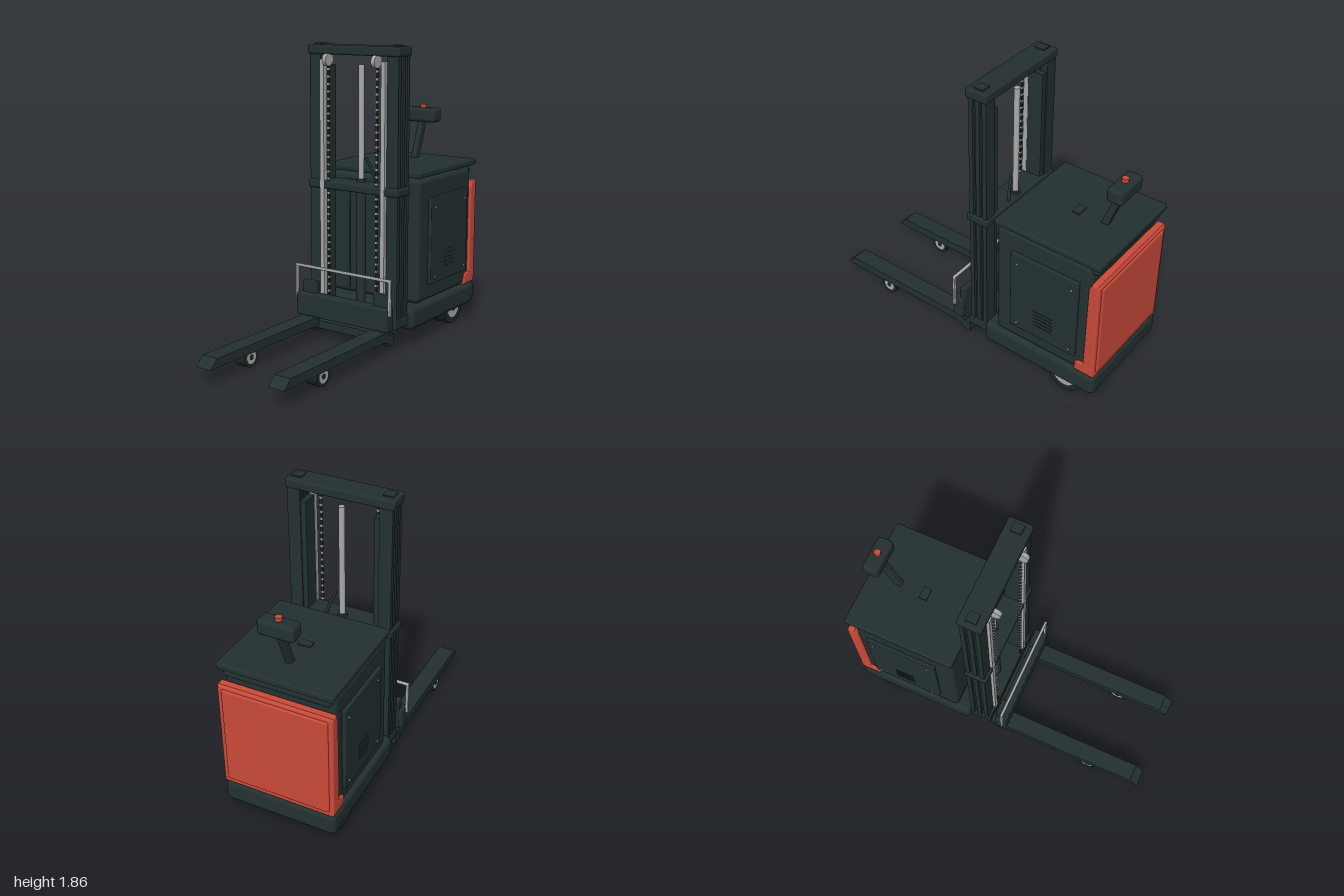
import * as THREE from 'three';
import { RoundedBoxGeometry } from 'three/addons/geometries/RoundedBoxGeometry.js';

const material = (name, color) => Object.assign(new THREE.MeshStandardMaterial({ color }), { name });

export function createModel() {
  const model = new THREE.Group();
  model.name = 'palletStacker';
  const dark = material('dark paint', 0x243131);
  const red = material('red paint', 0xcb4a3a);
  const steel = material('light steel', 0xa9abaa);
  const rubber = material('rubber', 0x202829);

  const add = (name, geometry, mat) => {
    const mesh = new THREE.Mesh(geometry, mat);
    mesh.name = name;
    model.add(mesh);
    return mesh;
  };
  // Box from its limits, with rounded edges when r > 0
  const box = (name, [x0, x1], [y0, y1], [z0, z1], mat = dark, r = 0) => {
    const size = [x1 - x0, y1 - y0, z1 - z0];
    const geometry = r ? new RoundedBoxGeometry(...size, 3, r) : new THREE.BoxGeometry(...size);
    const mesh = add(name, geometry, mat);
    mesh.position.set((x0 + x1) / 2, (y0 + y1) / 2, (z0 + z1) / 2);
    return mesh;
  };
  // Cylinder along y, or along x when sideways
  const cylinder = (name, r, length, [x, y, z], mat, sideways = false, sides = 28) => {
    const geometry = new THREE.CylinderGeometry(r, r, length, sides);
    if (sideways) geometry.rotateZ(Math.PI / 2);
    const mesh = add(name, geometry, mat);
    mesh.position.set(x, y, z);
    return mesh;
  };
  // Side outline of [z, y] points, extruded across x
  const sideExtrude = (name, points, x0, x1, mat, bevel = 0) => {
    const shape = new THREE.Shape(points.map(([z, y]) => new THREE.Vector2(z, y)));
    const geometry = new THREE.ExtrudeGeometry(shape, {
      depth: x1 - x0 - 2 * bevel, bevelEnabled: bevel > 0,
      bevelSize: bevel, bevelThickness: bevel, bevelOffset: -bevel, bevelSegments: 3,
    });
    geometry.rotateY(-Math.PI / 2).translate(x1 - bevel, 0, 0);
    return add(name, geometry, mat);
  };
  const tube = (name, points, r, mat, tension = 0.5) => {
    const curve = new THREE.CatmullRomCurve3(points.map((p) => new THREE.Vector3(...p)), false, 'catmullrom', tension);
    return add(name, new THREE.TubeGeometry(curve, 40, r, 8), mat);
  };
  const mirrored = (lo, hi, s) => (s > 0 ? [lo, hi] : [-hi, -lo]);

  // Chassis and body housing
  box('chassis', [-0.36, 0.36], [0.1, 0.245], [-0.995, -0.2], dark, 0.035);
  box('body', [-0.345, 0.345], [0.25, 1.035], [-0.93, -0.285], dark, 0.03);
  box('bodyNeck', [-0.33, 0.33], [0.99, 1.045], [-0.965, -0.76], dark, 0.02);
  box('lid', [-0.358, 0.358], [1.045, 1.085], [-0.985, -0.275], dark, 0.012);
  box('lidPlate', [-0.04, 0.04], [1.083, 1.094], [-0.64, -0.59]);
  for (const x of [-0.17, 0.17]) box('frontSeam', [x - 0.003, x + 0.003], [0.28, 1], [-0.287, -0.28], rubber);

  // Rear cover with flared foot and raised panel
  sideExtrude('rearCover', [[-0.99, 0.25], [-0.855, 0.25], [-0.86, 0.31], [-0.875, 0.325], [-0.915, 0.33],
    [-0.92, 0.9], [-0.94, 0.945], [-0.98, 0.945], [-0.99, 0.93]], -0.357, 0.357, red, 0.012);
  box('rearPanel', [-0.33, 0.33], [0.275, 0.92], [-1, -0.97], red, 0.014);

  for (const s of [-1, 1]) {
    // Side service panel, bolts and vents
    box('sidePanel', mirrored(0.34, 0.366, s), [0.355, 0.91], [-0.86, -0.4], dark, 0.006);
    for (const z of [-0.45, -0.82]) for (const y of [0.395, 0.845])
      cylinder('panelBolt', 0.006, 0.012, [s * 0.369, y, z], steel, true, 10);
    for (let i = 0; i < 5; i++)
      box('vent', mirrored(0.364, 0.368, s), [0.44 + i * 0.026, 0.448 + i * 0.026], [-0.7, -0.57], rubber);

    // Rear wheels
    cylinder('rearTyre', 0.115, 0.1, [s * 0.27, 0.115, -0.775], rubber, true, 36);
    cylinder('rearHub', 0.075, 0.106, [s * 0.27, 0.115, -0.775], steel, true);
    cylinder('rearHubCap', 0.03, 0.112, [s * 0.27, 0.115, -0.775], rubber, true);

    // Mast column: web with three ribs
    box('mastWeb', mirrored(0.25, 0.308, s), [0.14, 1.83], [-0.195, -0.08]);
    for (const z of [-0.09, -0.137, -0.184])
      box('mastRib', mirrored(0.245, 0.325, s), [0.14, 1.83], [z - 0.014, z + 0.014]);
    box('innerRail', mirrored(0.21, 0.24, s), [0.18, 1.76], [-0.09, -0.06], steel);
    box('innerChannel', mirrored(0.212, 0.246, s), [0.18, 1.72], [-0.19, -0.09]);
    box('mastCap', mirrored(0.25, 0.31, s), [1.84, 1.856], [-0.165, -0.1]);

    // Lift chain over its pulley
    box('chain', mirrored(0.172, 0.186, s), [0.2, 1.74], [-0.074, -0.066], rubber);
    for (let y = 0.3; y < 1.72; y += 0.045)
      box('chainLink', mirrored(0.17, 0.188, s), [y, y + 0.012], [-0.076, -0.062], steel);
    cylinder('pulley', 0.038, 0.026, [s * 0.178, 1.758, -0.057], steel, true);
    box('pulleyBracket', mirrored(0.165, 0.191, s), [1.74, 1.8], [-0.1, -0.07], steel);

    // Fork arm with sloped tip, upright and load wheel
    sideExtrude('fork', [[-0.06, 0.055], [0, 0.055], [0.01, 0.075], [0.06, 0.09], [1, 0.09], [0.945, 0.145],
      [0, 0.145], [0, 0.12], [-0.06, 0.12]], ...mirrored(0.208, 0.318, s), dark);
    box('forkUpright', mirrored(0.215, 0.318, s), [0.12, 0.375], [-0.02, 0.02], dark, 0.006);
    cylinder('loadTyre', 0.06, 0.085, [s * 0.264, 0.06, 0.64], rubber, true);
    cylinder('loadHub', 0.04, 0.09, [s * 0.264, 0.06, 0.64], steel, true);
    cylinder('loadHubCap', 0.016, 0.095, [s * 0.264, 0.06, 0.64], rubber, true, 16);
  }

  // Mast cross beams and lift cylinder
  box('mastTopBeam', [-0.335, 0.335], [1.79, 1.848], [-0.207, -0.06], dark, 0.012);
  box('mastMiddleBeam', [-0.335, 0.335], [0.96, 1.012], [-0.207, -0.06], dark, 0.012);
  box('mastBottomBeam', [-0.33, 0.33], [0.14, 0.2], [-0.21, -0.06], dark, 0.008);
  cylinder('liftCylinder', 0.03, 0.85, [0, 0.605, -0.165], dark);
  cylinder('liftRod', 0.018, 0.7, [0, 1.38, -0.165], steel);
  tube('hose', [[0.04, 1.165, -0.16], [0.085, 1.05, -0.18], [0.11, 0.9, -0.21],
    [0.125, 0.62, -0.228], [0.108, 0.3, -0.2]], 0.009, dark);

  // Fork carriage and load guard
  box('carriage', [-0.342, 0.342], [0.155, 0.3], [-0.018, 0.058], dark, 0.01);
  box('carriageCrossbar', [-0.22, 0.22], [0.07, 0.12], [-0.06, 0]);
  box('guardTopRail', [-0.358, 0.358], [0.465, 0.483], [0.028, 0.046], steel, 0.006);
  for (const x of [-0.348, 0.348])
    box('guardPost', [x - 0.01, x + 0.01], [0.255, 0.47], [0.028, 0.046], steel, 0.005);

  // Control tiller with stop button
  sideExtrude('tillerArm', [[-0.768, 1.08], [-0.815, 1.08], [-0.91, 1.34], [-0.863, 1.34]], -0.02, 0.02, dark, 0.006);
  box('tillerHead', [-0.113, 0.113], [1.315, 1.41], [-0.942, -0.84], dark, 0.024);
  cylinder('stopButton', 0.02, 0.03, [0, 1.417, -0.89], red);

  return model;
}
